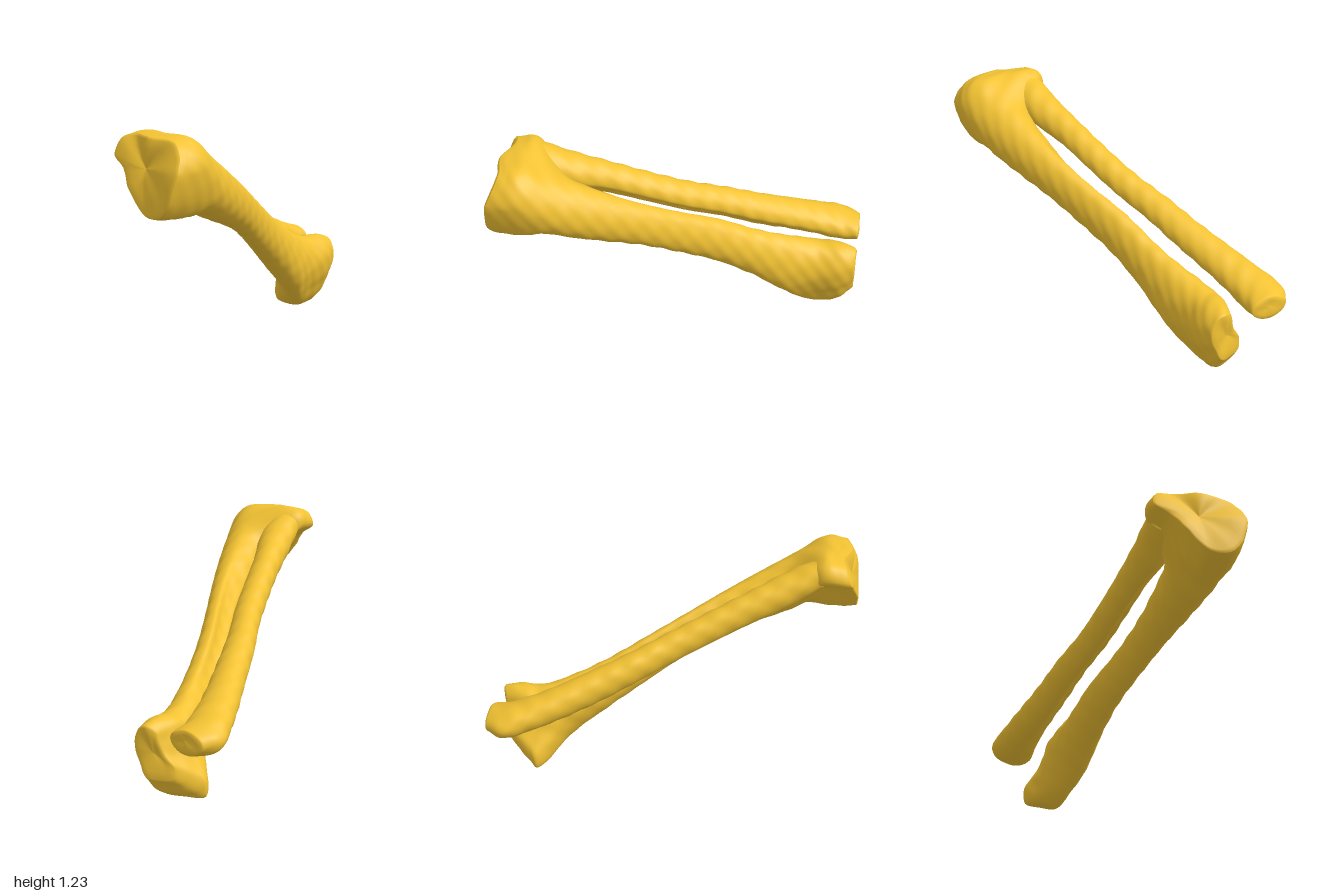
import * as THREE from 'three';

const K = 12;    // control points per cross-section
const SEG = 60;  // vertices around a ring
const STEP = 10; // rings between neighbouring sections

// Elliptical cross-section at depth z, flattened by "flat" on the side facing angle "dir"
function oval(z, cx, cy, rx, ry, flat = 0, dir = 0) {
  return Array.from({ length: K }, (_, i) => {
    const a = (i / K) * Math.PI * 2;
    const s = 1 - flat * Math.max(0, Math.cos(a - dir)) ** 5;
    return new THREE.Vector3(cx + rx * s * Math.cos(a), cy + ry * s * Math.sin(a), z);
  });
}

// Freehand cross-section, scaled about a centre; depth may vary over the outline
function outline(pts, zAt, s = 1, cx = 0, cy = 0) {
  return pts.map(([px, py]) => {
    const x = cx + (px - cx) * s, y = cy + (py - cy) * s;
    return new THREE.Vector3(x, y, zAt(x, y));
  });
}

const centre = ring =>
  ring.reduce((t, p) => t.add(p), new THREE.Vector3()).divideScalar(ring.length);

// Shrunken copy of an end ring, slightly uneven
function capRing(ring, s, dz) {
  const c = centre(ring);
  return ring.map(p => {
    const q = p.clone().lerp(c, 1 - s);
    q.z += dz + 0.012 * (1 - s) * Math.sin(q.x * 30) * Math.sin(q.y * 37);
    return q;
  });
}

// Smooth loft through sections ordered from back to front, with closed ends
function loft(sections) {
  const rails = Array.from({ length: K }, (_, k) =>
    new THREE.CatmullRomCurve3(sections.map(s => s[k])));
  const n = (sections.length - 1) * STEP;
  const rings = [];
  for (let i = 0; i <= n; i++) {
    // Rails are sampled per section, so each ring keeps one depth
    const loop = new THREE.CatmullRomCurve3(rails.map(r => r.getPoint(i / n)), true);
    const ring = Array.from({ length: SEG }, (_, j) => loop.getPoint(j / SEG));
    const c = centre(ring);
    // Fine uneven bone surface
    ring.forEach(p => {
      const w = Math.sin(p.z * 41 + p.x * 33) * Math.sin(p.y * 47 - p.z * 23);
      p.addScaledVector(p.clone().sub(c).setZ(0).normalize(), 0.003 * w);
    });
    rings.push(ring);
  }
  const first = rings[0], last = rings[n];
  for (const [s, dz] of [[0.93, 0.008], [0.65, 0.01], [0.3, 0.004], [0, 0.002]]) {
    rings.unshift(capRing(first, s, -dz));
    rings.push(capRing(last, s, dz));
  }

  const pos = [], idx = [];
  rings.forEach(r => r.forEach(p => pos.push(p.x, p.y, p.z)));
  for (let i = 0; i < rings.length - 1; i++) {
    for (let j = 0; j < SEG; j++) {
      const a = i * SEG + j, b = i * SEG + (j + 1) % SEG;
      idx.push(a, b, b + SEG, a, b + SEG, a + SEG);
    }
  }
  const g = new THREE.BufferGeometry();
  g.setAttribute('position', new THREE.Float32BufferAttribute(pos, 3));
  g.setIndex(idx);
  g.computeVertexNormals();
  return g;
}

export function createModel() {
  const group = new THREE.Group();
  group.name = 'forelegBones';
  const bone = new THREE.MeshStandardMaterial({ color: 0xf2c233 });
  const add = (name, sections) => {
    const m = new THREE.Mesh(loft(sections), bone);
    m.name = name;
    group.add(m);
  };

  // The shafts are flattened where they face each other
  const upLeft = Math.PI * 0.75, downRight = -Math.PI * 0.25;

  // Broad back end of the thick bone
  const heel = [[-0.075, 0.25], [-0.08, 0.35], [-0.13, 0.43], [-0.2, 0.455], [-0.27, 0.42],
    [-0.295, 0.33], [-0.34, 0.22], [-0.405, 0.12], [-0.4, 0.02], [-0.3, 0.003],
    [-0.19, 0.02], [-0.12, 0.13]];
  // Wide front head with a shelf that takes in the thin bone
  const head = [[0.605, 1.04], [0.58, 1.14], [0.5, 1.21], [0.36, 1.22], [0.2, 1.23],
    [0.11, 1.205], [0.09, 1.12], [0.18, 1.05], [0.25, 0.96], [0.31, 0.885],
    [0.39, 0.82], [0.52, 0.835]];
  // Back face recedes towards its left side
  const rear = (x) => -0.98 + 0.5 * Math.max(0, -0.2 - x);
  // Front face slopes back towards the top, with two small pointed lips
  const lip = (x, y, px, py) => Math.exp(-((x - px) ** 2 + (y - py) ** 2) / 0.004);
  const face = (x, y) => 0.98 - 0.42 * Math.max(0, y - 0.98)
    + 0.06 * lip(x, y, 0.4, 1.21) + 0.03 * lip(x, y, 0.1, 1.16);

  add('thickBone', [
    outline(heel, rear, 0.65, -0.19, 0.38),
    outline(heel, (x) => rear(x) + 0.08, 0.92, -0.2, 0.42),
    outline(heel, () => -0.76),
    oval(-0.6, -0.15, 0.315, 0.125, 0.195, 0.1, upLeft),
    oval(-0.4, -0.078, 0.44, 0.115, 0.16, 0.4, upLeft),
    oval(-0.2, 0.008, 0.565, 0.108, 0.145, 0.5, upLeft),
    oval(0, 0.12, 0.675, 0.1, 0.135, 0.45, upLeft),
    oval(0.2, 0.225, 0.78, 0.108, 0.132, 0.32, upLeft),
    oval(0.4, 0.312, 0.868, 0.13, 0.147, 0.15, upLeft),
    oval(0.6, 0.38, 0.955, 0.16, 0.165),
    outline(head, () => 0.78),
    outline(head, (x, y) => face(x, y) - 0.04, 0.99, 0.36, 1.05),
    outline(head, face, 0.95, 0.38, 1.03),
  ]);

  add('thinBone', [
    oval(-0.98, -0.46, 0.405, 0.105, 0.065),
    oval(-0.89, -0.48, 0.412, 0.13, 0.085),
    oval(-0.7, -0.42, 0.465, 0.118, 0.095, 0.15, downRight),
    oval(-0.4, -0.285, 0.575, 0.102, 0.103, 0.35, downRight),
    oval(-0.2, -0.195, 0.665, 0.096, 0.098, 0.42, downRight),
    oval(0, -0.088, 0.755, 0.092, 0.097, 0.5, downRight),
    oval(0.2, -0.002, 0.85, 0.09, 0.097, 0.48, downRight),
    oval(0.4, 0.078, 0.945, 0.092, 0.1, 0.42, downRight),
    oval(0.6, 0.16, 1.035, 0.11, 0.105, 0.2, downRight),
    oval(0.78, 0.2, 1.135, 0.1, 0.085),
  ]);

  return group;
}
